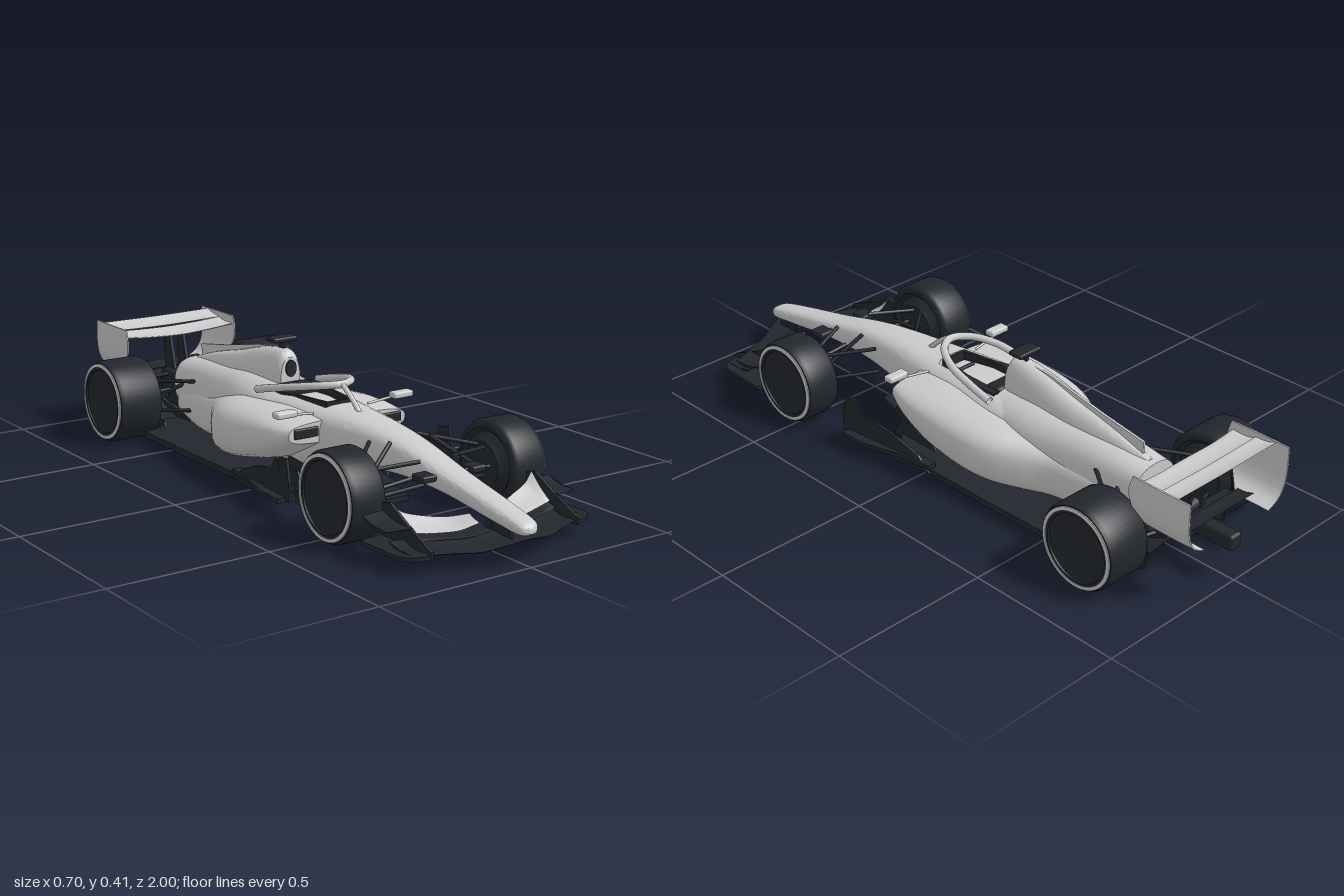
import * as THREE from 'three';
import { toCreasedNormals } from 'three/addons/utils/BufferGeometryUtils.js';
import { RoundedBoxGeometry } from 'three/addons/geometries/RoundedBoxGeometry.js';

const V = (x, y, z) => new THREE.Vector3(x, y, z);
const light = new THREE.MeshStandardMaterial({ color: 0xcccccc, side: THREE.DoubleSide });
const dark = new THREE.MeshStandardMaterial({ color: 0x23272d, side: THREE.DoubleSide });

// Skin closed rings of points into a capped solid, facing outward
function skin(rings) {
  const n = rings[0].length, pos = [], idx = [];
  for (const r of rings) for (const p of r) pos.push(...p);
  for (let i = 0; i < rings.length - 1; i++) for (let j = 0; j < n; j++) {
    const a = i * n + j, b = i * n + (j + 1) % n;
    idx.push(a, b, a + n, b, b + n, a + n);
  }
  [[0, 1], [rings.length - 1, -1]].forEach(([r, d]) => {
    const c = pos.length / 3;
    pos.push(...[0, 1, 2].map(k => rings[r].reduce((s, p) => s + p[k], 0) / n));
    for (let j = 0; j < n; j++) {
      const a = r * n + j, b = r * n + (j + 1) % n;
      if (d > 0) idx.push(c, b, a); else idx.push(c, a, b);
    }
  });
  const at = i => V(pos[i * 3], pos[i * 3 + 1], pos[i * 3 + 2]);
  let vol = 0;
  for (let i = 0; i < idx.length; i += 3) vol += at(idx[i]).dot(at(idx[i + 1]).cross(at(idx[i + 2])));
  if (vol < 0) idx.reverse();
  const g = new THREE.BufferGeometry();
  g.setAttribute('position', new THREE.Float32BufferAttribute(pos, 3));
  g.setIndex(idx);
  return toCreasedNormals(g, 0.7);
}

// Smooth interpolation through the rows of a small table
function smooth(rows, per) {
  const out = [], at = i => rows[Math.min(Math.max(i, 0), rows.length - 1)];
  for (let i = 0; i < rows.length - 1; i++) for (let k = 0; k < per; k++) {
    const t = k / per;
    out.push(rows[i].map((p, c) => {
      const q = at(i + 1)[c], m0 = (q - at(i - 1)[c]) / 2, m1 = (at(i + 2)[c] - p) / 2;
      return p + m0 * t + (3 * (q - p) - 2 * m0 - m1) * t * t + (2 * (p - q) + m0 + m1) * t ** 3;
    }));
  }
  out.push(rows[rows.length - 1]);
  return out;
}

// Body loft along z; rows are [z, halfWidth, bottom, top]; an optional opening sinks the middle of the top
function body(rows, power, open) {
  return skin(smooth(rows, 8).map(([z, w, y0, y1]) => {
    const half = [], N = 16, e = 2 / power;
    for (let i = 0; i <= N; i++) {
      const t = (i / N - 0.5) * Math.PI, s = Math.sin(t), c = Math.max(Math.cos(t), 0);
      half.push([w * c ** e, (y0 + y1) / 2 + (y1 - y0) / 2 * Math.sign(s) * Math.abs(s) ** e, z]);
    }
    if (open && z < open[0] && z > open[1]) {
      half[15] = [half[14][0], y1 - open[2], z];
      half[16] = [0, y1 - open[2], z];
    }
    return [...half, ...half.slice(1, -1).reverse().map(p => [-p[0], p[1], p[2]])];
  }));
}

// Wing across x; rows are [x, z front, y front, z back, y back], th is the thickness
function wing(rows, th) {
  return skin(smooth(rows, 6).map(([x, zf, yf, zb, yb]) => Array.from({ length: 14 }, (_, i) => {
    const a = i / 14 * Math.PI * 2, u = (1 - Math.cos(a)) / 2;
    const sag = -0.1 * Math.abs(zf - zb) * Math.sin(u * Math.PI);
    return [x, yf + (yb - yf) * u + sag + Math.sin(a) * th * (1.1 - u * 0.8) / 2, zf + (zb - zf) * u];
  })));
}
const bothSides = rows => [...rows.slice(1).reverse().map(([x, ...r]) => [-x, ...r]), ...rows];

// Flat plates: outline in (x, z) at height y, or in (z, y) at position x
function slab(shape, y, h) {
  return new THREE.ExtrudeGeometry(shape, { depth: h, bevelEnabled: false })
    .rotateX(Math.PI / 2).translate(0, y + h, 0);
}
const outline = pts => new THREE.Shape(pts.map(p => new THREE.Vector2(...p)));
const symmetric = pts => outline([...pts, ...pts.slice().reverse().map(([x, z]) => [-x, z])]);
function fin(pts, x, th) {
  return new THREE.ExtrudeGeometry(outline(pts), { depth: th, bevelEnabled: false })
    .rotateY(-Math.PI / 2).translate(x + th / 2, 0, 0);
}
function box(w, h, d, x, y, z, r = 0.006) {
  return new RoundedBoxGeometry(w, h, d, 2, Math.min(r, w / 3, h / 3, d / 3)).translate(x, y, z);
}
function bar(a, b, r) {
  return new THREE.TubeGeometry(new THREE.LineCurve3(V(...a), V(...b)), 1, r, 8);
}
function mirrored(geom) {
  const g = (geom.index ? geom.toNonIndexed() : geom.clone()).scale(-1, 1, 1);
  for (const key of ['position', 'normal']) {
    const a = g.attributes[key];
    for (let i = 0; i < a.count; i += 3) {
      const p = [a.getX(i), a.getY(i), a.getZ(i)];
      a.setXYZ(i, a.getX(i + 1), a.getY(i + 1), a.getZ(i + 1));
      a.setXYZ(i + 1, ...p);
    }
  }
  return g;
}

export function createModel() {
  const car = new THREE.Group();
  car.name = 'racingCar';
  const add = (name, geom, mat) => {
    const m = new THREE.Mesh(geom, mat);
    m.name = name;
    car.add(m);
  };
  const pair = (name, geom, mat) => {
    add(name + 'Left', geom, mat);
    add(name + 'Right', mirrored(geom), mat);
  };

  // Nose, chassis and cockpit
  add('noseAndChassis', body([[0.998, 0.012, 0.092, 0.108], [0.975, 0.034, 0.086, 0.124], [0.87, 0.041, 0.098, 0.149],
    [0.68, 0.049, 0.122, 0.188], [0.5, 0.062, 0.128, 0.23], [0.35, 0.078, 0.115, 0.25], [0.2, 0.1, 0.09, 0.259],
    [0.1, 0.118, 0.06, 0.264], [-0.03, 0.135, 0.05, 0.268], [-0.16, 0.14, 0.05, 0.27], [-0.3, 0.12, 0.05, 0.26]], 3, [0.13, -0.14, 0.08]), light);
  const tub = symmetric([[0.045, 0.125], [0.066, 0], [0.084, -0.06], [0.084, -0.138]]);
  add('cockpitFloor', slab(tub, 0.182, 0.012), dark);
  tub.holes.push(new THREE.Path([[-0.036, 0.115], [0.036, 0.115], [0.056, 0], [0.058, -0.125], [-0.058, -0.125], [-0.056, 0]].map(p => new THREE.Vector2(...p))));
  add('cockpitLining', slab(tub, 0.185, 0.083), dark);
  add('headrest', box(0.13, 0.07, 0.06, 0, 0.24, -0.11, 0.015), dark);
  add('steeringWheel', box(0.07, 0.03, 0.012, 0, 0.235, 0.07), dark);

  // Halo
  const arch = [[0.113, 0.262, -0.15], [0.112, 0.282, -0.07], [0.098, 0.304, 0.03], [0.055, 0.317, 0.105]];
  const haloPts = [...arch, [0, 0.32, 0.135], ...arch.slice().reverse().map(([x, y, z]) => [-x, y, z])];
  add('halo', new THREE.TubeGeometry(new THREE.CatmullRomCurve3(haloPts.map(p => V(...p))), 48, 0.012, 10), light);
  add('haloPillar', new THREE.TubeGeometry(new THREE.QuadraticBezierCurve3(V(0, 0.32, 0.14), V(0, 0.3, 0.18), V(0, 0.25, 0.23)), 10, 0.008, 8), light);

  // Sidepods, shoulders and engine cover
  add('sidepods', body([[0.17, 0.213, 0.165, 0.232], [0.1, 0.234, 0.125, 0.24], [0, 0.246, 0.08, 0.246], [-0.15, 0.243, 0.045, 0.24],
    [-0.24, 0.222, 0.035, 0.23], [-0.32, 0.178, 0.03, 0.215], [-0.41, 0.13, 0.03, 0.2], [-0.55, 0.105, 0.03, 0.185], [-0.68, 0.085, 0.06, 0.16]], 3.2), light);
  pair('sidepodInlet', box(0.085, 0.03, 0.012, 0.152, 0.202, 0.17, 0.004), dark);
  add('shoulders', body([[-0.14, 0.13, 0.05, 0.275], [-0.28, 0.132, 0.05, 0.285], [-0.42, 0.112, 0.05, 0.274], [-0.56, 0.096, 0.06, 0.262],
    [-0.7, 0.084, 0.08, 0.245]], 2.5), light);
  add('engineCover', body([[-0.135, 0.036, 0.2, 0.35], [-0.165, 0.046, 0.16, 0.373], [-0.28, 0.056, 0.1, 0.358], [-0.4, 0.055, 0.1, 0.326],
    [-0.55, 0.04, 0.1, 0.29], [-0.68, 0.025, 0.1, 0.25]], 2.4), light);
  add('coverFin', fin([[-0.2, 0.3], [-0.2, 0.37], [-0.3, 0.36], [-0.5, 0.32], [-0.655, 0.295], [-0.655, 0.23]], 0, 0.008), light);
  add('airIntake', new THREE.CylinderGeometry(0.019, 0.019, 0.008, 20).rotateX(Math.PI / 2).scale(1, 1.4, 1).translate(0, 0.315, -0.133), dark);
  add('cameraStalk', box(0.012, 0.045, 0.03, 0, 0.38, -0.18), dark);
  add('cameraBar', box(0.087, 0.015, 0.05, 0, 0.4, -0.183), dark);
  pair('mirror', box(0.072, 0.02, 0.035, 0.212, 0.263, 0.15, 0.008), light);
  pair('mirrorStay', bar([0.1, 0.245, 0.13], [0.2, 0.257, 0.14], 0.004), light);

  // Stepped floor, fences and diffuser
  add('floorPlank', slab(symmetric([[0.06, 0.39], [0.085, 0.3], [0.12, 0.15], [0.125, -0.6], [0.11, -0.68]]), 0.015, 0.016), dark);
  add('floor', slab(symmetric([[0.085, 0.3], [0.105, 0.2], [0.2, 0.15], [0.25, 0.08], [0.262, -0.05], [0.262, -0.3], [0.255, -0.6], [0.185, -0.62], [0.17, -0.7]]), 0.025, 0.02), dark);
  pair('floorEdge', slab(outline([[0.262, 0.28], [0.325, 0.28], [0.32, 0.18], [0.285, 0.06], [0.27, -0.05], [0.24, -0.05], [0.24, 0.1], [0.25, 0.2]]), 0.045, 0.014), dark);
  const fence = fin([[0.3, 0.05], [0.3, 0.11], [0.285, 0.175], [0.24, 0.17], [0.235, 0.12], [0.16, 0.12], [0.08, 0.1], [0, 0.07], [-0.05, 0.03], [0.1, 0.02]], 0, 0.008);
  const fp = fence.attributes.position;
  for (let i = 0; i < fp.count; i++) fp.setX(i, fp.getX(i) + 0.262 + 0.035 * Math.max(0, fp.getZ(i) / 0.3));
  fence.computeVertexNormals();
  pair('floorFence', fence, dark);
  for (const x of [0.13, 0.18]) pair('floorStrake', fin([[0.2, 0.03], [0.17, 0.09], [0.05, 0.1], [0, 0.03]], x, 0.006), dark);
  add('diffuser', wing(bothSides([[0, -0.6, 0.035, -0.83, 0.09], [0.1, -0.6, 0.035, -0.83, 0.09], [0.17, -0.6, 0.035, -0.83, 0.08]]), 0.012), dark);
  pair('diffuserFence', fin([[-0.6, 0.02], [-0.82, 0.03], [-0.83, 0.09], [-0.62, 0.06]], 0.17, 0.006), dark);
  pair('diffuserStrake', fin([[-0.6, 0.03], [-0.8, 0.055], [-0.82, 0.085], [-0.62, 0.05]], 0.07, 0.006), dark);

  // Gearbox and rear crash structure
  add('gearbox', box(0.11, 0.12, 0.26, 0, 0.125, -0.72, 0.02), dark);
  add('crashStructure', box(0.045, 0.05, 0.2, 0, 0.125, -0.9, 0.01), dark);

  // Front wing: main plane, two flaps, end plates
  add('frontWingMain', wing(bothSides([[0, 0.985, 0.074, 0.87, 0.078], [0.06, 0.965, 0.062, 0.86, 0.074], [0.12, 0.94, 0.05, 0.83, 0.062], [0.2, 0.91, 0.053, 0.8, 0.066], [0.3, 0.87, 0.053, 0.77, 0.068]]), 0.013), dark);
  pair('frontWingLowerFlap', wing([[0.04, 0.88, 0.078, 0.83, 0.09], [0.1, 0.86, 0.064, 0.8, 0.074], [0.18, 0.83, 0.064, 0.765, 0.08], [0.25, 0.81, 0.068, 0.75, 0.1]], 0.009), dark);
  pair('frontWingUpperFlap', wing([[0.045, 0.835, 0.088, 0.795, 0.104], [0.1, 0.825, 0.074, 0.755, 0.094], [0.17, 0.805, 0.074, 0.725, 0.104], [0.22, 0.795, 0.08, 0.715, 0.122], [0.248, 0.79, 0.084, 0.71, 0.153]], 0.008), light);
  pair('frontWingEndPlate', fin([[0.9, 0.045], [0.9, 0.065], [0.8, 0.11], [0.72, 0.153], [0.685, 0.145], [0.685, 0.045]], 0.255, 0.008), dark);
  pair('endPlateFoot', slab(outline([[0.25, 0.9], [0.3, 0.885], [0.33, 0.86], [0.335, 0.69], [0.225, 0.68], [0.24, 0.78]]), 0.042, 0.012), dark);
  pair('endPlateWinglet', wing([[0.255, 0.82, 0.108, 0.69, 0.125], [0.33, 0.8, 0.105, 0.69, 0.122]], 0.01), dark);
  pair('frontWingPylon', fin([[0.95, 0.07], [0.94, 0.11], [0.86, 0.12], [0.87, 0.075]], 0.025, 0.006), dark);

  // Rear wing with end plates that roll inward at the bottom
  add('rearWingMain', wing(bothSides([[0, -0.795, 0.3, -0.885, 0.312], [0.12, -0.8, 0.304, -0.885, 0.315], [0.208, -0.8, 0.312, -0.885, 0.32]]), 0.012), light);
  add('rearWingFlap', wing(bothSides([[0, -0.88, 0.318, -0.955, 0.336], [0.208, -0.88, 0.322, -0.955, 0.338]]), 0.008), light);
  const plateRows = [[0.339, 0.21, -0.797, -0.998], [0.3, 0.211, -0.785, -0.998], [0.26, 0.21, -0.79, -0.998], [0.22, 0.203, -0.81, -0.998], [0.185, 0.18, -0.84, -0.998], [0.165, 0.14, -0.88, -0.998]];
  pair('rearWingEndPlate', skin(smooth(plateRows, 4).map(([y, x, za, zb]) => [[x, y, za], [x + 0.002, y, (za + zb) / 2], [x, y, zb], [x - 0.005, y, zb], [x - 0.004, y, (za + zb) / 2], [x - 0.005, y, za]])), light);
  for (const [y, z] of [[0.155, -0.83], [0.175, -0.875]]) add('beamWing', wing(bothSides([[0, z, y, z - 0.06, y + 0.012], [0.15, z, y, z - 0.06, y + 0.012]]), 0.01), dark);
  pair('rearWingSupport', fin([[-0.78, 0.14], [-0.82, 0.298], [-0.86, 0.302], [-0.85, 0.14]], 0.025, 0.01), dark);

  // Wheels: tyre, pale rim ring, wheel cover and brake drum
  for (const [name, z, xa, xb] of [['front', 0.536, 0.224, 0.344], ['rear', -0.722, 0.189, 0.347]]) {
    const w = xb - xa, R = 0.133;
    const spin = pts => toCreasedNormals(new THREE.LatheGeometry(pts.map(p => new THREE.Vector2(...p)), 48), 0.6)
      .rotateZ(-Math.PI / 2).translate(xa, R, z);
    pair(name + 'Tyre', spin([[0.095, 0.012], [0.108, 0], [0.118, 0.001], [0.127, 0.006], [R, 0.017], [R, w - 0.017], [0.127, w - 0.004], [0.118, w - 0.001], [0.105, w], [0.1, w - 0.012]]), dark);
    pair(name + 'RimRing', spin([[0.113, w - 0.002], [0.113, w + 0.002], [0.124, w], [0.124, w - 0.004]]), light);
    pair(name + 'WheelCover', spin([[0, w - 0.012], [0.06, w - 0.01], [0.114, w - 0.004]]), dark);
    pair(name + 'BrakeDrum', spin([[0, -0.012], [0.07, -0.012], [0.08, 0], [0.1, 0.015]]), dark);
  }

  // Suspension arms from the chassis to the hubs
  const arms = [
    [[0.065, 0.205, 0.6], [0.235, 0.185, 0.535]], [[0.085, 0.215, 0.39], [0.235, 0.185, 0.53]],
    [[0.05, 0.135, 0.6], [0.235, 0.1, 0.54]], [[0.07, 0.13, 0.39], [0.235, 0.1, 0.53]],
    [[0.06, 0.15, 0.57], [0.235, 0.135, 0.57]], [[0.07, 0.23, 0.47], [0.23, 0.11, 0.53]],
    [[0.07, 0.2, -0.53], [0.205, 0.185, -0.72]], [[0.05, 0.17, -0.8], [0.205, 0.185, -0.74]],
    [[0.08, 0.1, -0.55], [0.205, 0.085, -0.72]], [[0.05, 0.1, -0.8], [0.205, 0.085, -0.74]],
    [[0.05, 0.13, -0.75], [0.205, 0.1325, -0.73]], [[0.06, 0.19, -0.62], [0.2, 0.1, -0.72]]];
  for (const [a, b] of arms) pair('suspensionArm', bar(a, b, 0.0065), dark);
  pair('noseSensor', box(0.05, 0.02, 0.055, 0.088, 0.176, 0.65), dark);
  pair('noseSensorStay', bar([0.04, 0.17, 0.65], [0.07, 0.175, 0.65], 0.005), dark);
  return car;
}
